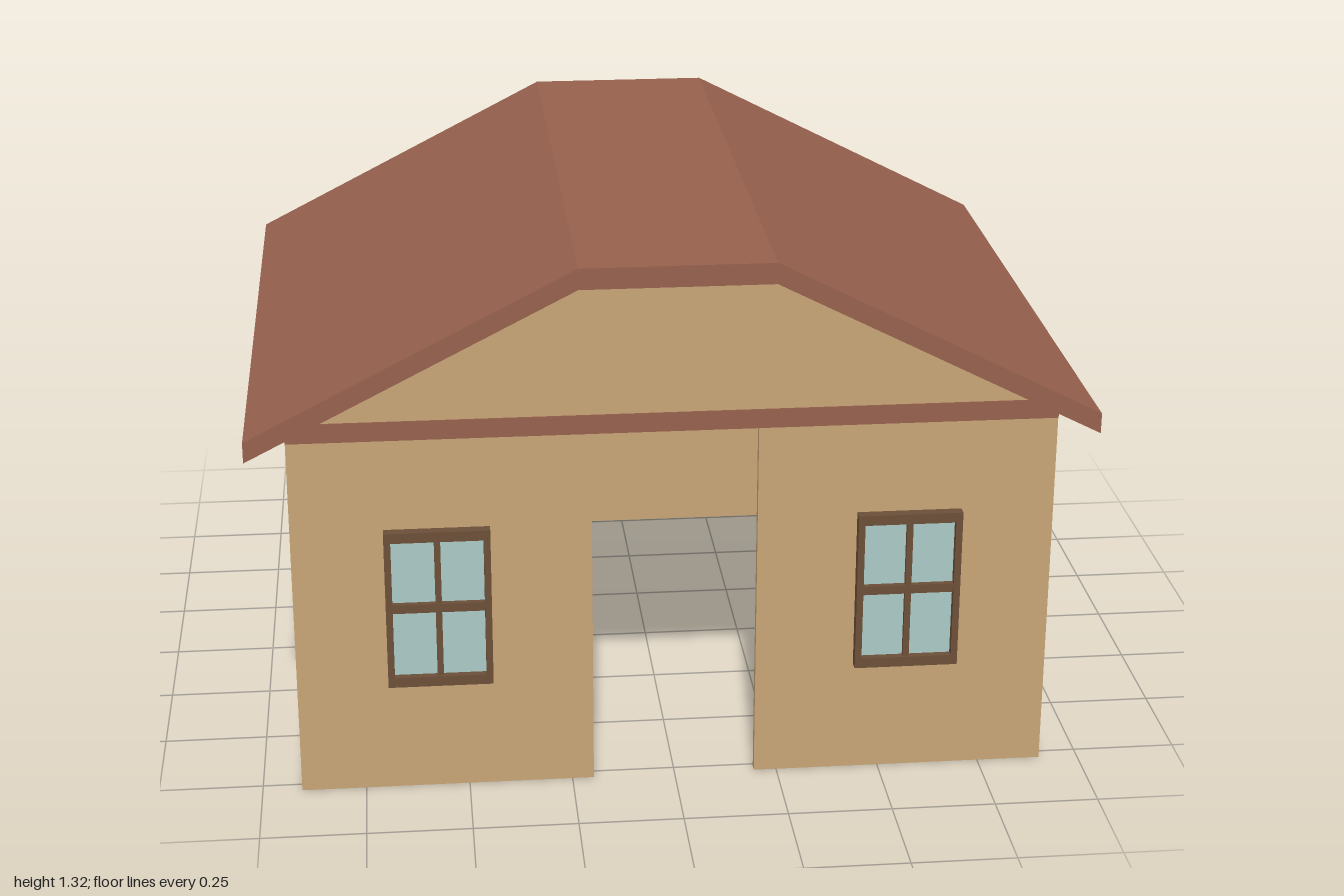
import * as THREE from 'three';

const mat = (color) => new THREE.MeshStandardMaterial({ color, flatShading: true });

export function createModel() {
  const house = new THREE.Group();
  house.name = 'house';
  const wallMat = mat(0xc8a576);
  const roofMat = mat(0x96604c);
  const frameMat = mat(0x6b4f38);
  const glassMat = mat(0xabcbc6);

  const add = (parent, name, geometry, material, x = 0, y = 0, z = 0) => {
    const mesh = new THREE.Mesh(geometry, material);
    mesh.name = name;
    mesh.position.set(x, y, z);
    parent.add(mesh);
    return mesh;
  };
  // Outline in the xy plane, extruded from z0 to z1
  const slab = (points, z0, z1) => {
    const shape = new THREE.Shape(points.map(([x, y]) => new THREE.Vector2(x, y)));
    return new THREE.ExtrudeGeometry(shape, { depth: z1 - z0, bevelEnabled: false }).translate(0, 0, z0);
  };

  const W = 0.905, T = 0.02, front = 0.78, back = -0.775;
  const eave = 0.922, ridgeX = 0.228, ridgeY = 1.27;
  const gable = [[W, eave], [ridgeX, ridgeY], [-ridgeX, ridgeY], [-W, eave]];

  // Gabled end walls; the front one has a door opening up to the beam
  add(house, 'backWall', slab([[-W, 0], [W, 0], ...gable], back, back + T), wallMat);
  add(house, 'frontWall', slab([
    [-W, 0], [-0.198, 0], [-0.198, 0.905], [0.195, 0.905], [0.195, 0], [W, 0], ...gable,
  ], front - T, front), wallMat);

  // Side walls
  for (const s of [1, -1]) {
    add(house, s > 0 ? 'leftWall' : 'rightWall',
      new THREE.BoxGeometry(T, eave - 0.005, front - back - 2 * T), wallMat,
      s * (W - T / 2), (eave - 0.005) / 2, (front + back) / 2);
  }

  // Beam across the front, cut to the roof slope
  add(house, 'frontBeam', slab([
    [-W, 0.905], [W, 0.905], [W, eave], [0.85, 0.952], [-0.85, 0.952], [-W, eave],
  ], front - 0.01, front + 0.003), roofMat);

  // Flat-topped roof shell with overhanging eaves
  add(house, 'roof', slab([
    [-1, 0.875], [-ridgeX, ridgeY], [ridgeX, ridgeY], [1, 0.875],
    [1, 0.925], [ridgeX, 1.321], [-ridgeX, 1.321], [-1, 0.925],
  ], -0.82, 0.815), roofMat);

  // Four-pane windows
  const w = 0.25, h = 0.4, d = 0.026;
  for (const s of [1, -1]) {
    const win = new THREE.Group();
    win.name = s > 0 ? 'leftWindow' : 'rightWindow';
    win.position.set(s > 0 ? 0.558 : -0.563, 0.48, front);
    add(win, 'glass', new THREE.BoxGeometry(w - 0.02, h - 0.03, 0.008), glassMat, 0, 0, 0.004);
    for (const k of [1, -1]) {
      add(win, 'frameRail', new THREE.BoxGeometry(w, 0.025, d), frameMat, 0, k * (h - 0.025) / 2, d / 2);
      add(win, 'frameStile', new THREE.BoxGeometry(0.016, h - 0.05, d), frameMat, k * (w - 0.016) / 2, 0, d / 2);
    }
    add(win, 'mullion', new THREE.BoxGeometry(0.015, h - 0.05, 0.02), frameMat, 0, 0, 0.01);
    add(win, 'transom', new THREE.BoxGeometry(w - 0.032, 0.022, 0.022), frameMat, 0, 0.003, 0.011);
    house.add(win);
  }
  return house;
}
